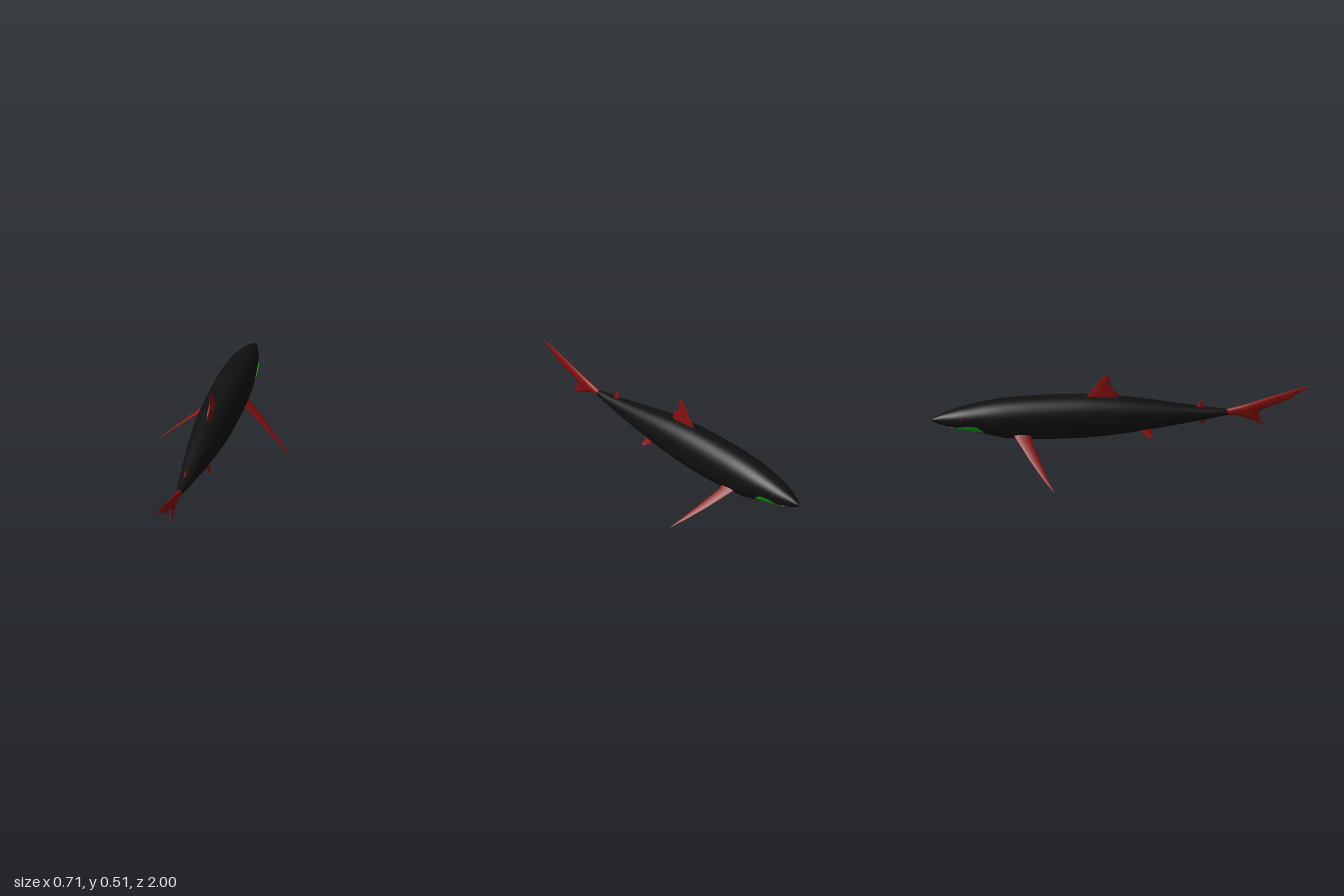
import * as THREE from 'three';
import { mergeVertices } from 'three/addons/utils/BufferGeometryUtils.js';

const bodyMat = new THREE.MeshStandardMaterial({ name: 'black skin', color: 0x101010 });
const finMat = new THREE.MeshStandardMaterial({ name: 'red fin', color: 0x850f0f, side: THREE.DoubleSide });
const mouthMat = new THREE.MeshStandardMaterial({ name: 'dark red mouth', color: 0x4c1010, side: THREE.DoubleSide });
const lipMat = new THREE.MeshStandardMaterial({ name: 'green lip', color: 0x14b014, side: THREE.DoubleSide });

// Body stations: z, half width, top y, bottom y (nose at -z)
const BODY = [
  [-1, 0.003, 0.275, 0.266], [-0.985, 0.014, 0.285, 0.257], [-0.95, 0.028, 0.302, 0.244],
  [-0.9, 0.046, 0.32, 0.232], [-0.85, 0.059, 0.335, 0.222], [-0.8, 0.069, 0.347, 0.213],
  [-0.7, 0.084, 0.367, 0.188], [-0.62, 0.092, 0.378, 0.164], [-0.5, 0.097, 0.387, 0.153],
  [-0.35, 0.098, 0.39, 0.149], [-0.2, 0.096, 0.389, 0.15], [-0.08, 0.091, 0.381, 0.158],
  [0.05, 0.082, 0.367, 0.172], [0.2, 0.066, 0.343, 0.193], [0.35, 0.047, 0.316, 0.216],
  [0.48, 0.03, 0.295, 0.237], [0.57, 0.016, 0.285, 0.252], [0.6, 0.003, 0.275, 0.264],
];

// Linear lookup in a table sorted by its first column
function lookup(table, x, col) {
  let i = 1;
  while (i < table.length - 1 && table[i][0] < x) i++;
  const a = table[i - 1], b = table[i];
  return THREE.MathUtils.lerp(a[col], b[col], THREE.MathUtils.clamp((x - a[0]) / (b[0] - a[0]), 0, 1));
}

// Smooth surface from fn(u, v)
function surface(fn, nu, nv) {
  const pos = [], index = [];
  for (let j = 0; j <= nv; j++) {
    for (let i = 0; i <= nu; i++) {
      pos.push(...fn(i / nu, j / nv));
      if (i < nu && j < nv) {
        const k = j * (nu + 1) + i, up = k + nu + 1;
        index.push(k, k + 1, up, k + 1, up + 1, up);
      }
    }
  }
  let geo = new THREE.BufferGeometry();
  geo.setAttribute('position', new THREE.Float32BufferAttribute(pos, 3));
  geo.setIndex(index);
  geo = mergeVertices(geo, 1e-5);
  geo.computeVertexNormals();
  return geo;
}

// Point on the skin; the angle runs from the belly towards +x
function skin(z, a, lift = 0) {
  const w = lookup(BODY, z, 1) + lift, top = lookup(BODY, z, 2), low = lookup(BODY, z, 3);
  const h = (top - low) / 2 + lift;
  const round = (v) => Math.sign(v) * Math.abs(v) ** 0.9;
  return [w * round(Math.sin(a)), (top + low) / 2 - h * round(Math.cos(a)), z];
}

// Lens-shaped fin from sections [lead xyz, trail xyz, half thickness]
function fin(name, sections, normal) {
  const n = new THREE.Vector3(...normal).normalize();
  const geo = surface((u, v) => {
    const [lead, trail, t] = sections[Math.round(v * (sections.length - 1))];
    const a = u * Math.PI * 2;
    return new THREE.Vector3(...lead).lerp(new THREE.Vector3(...trail), (1 - Math.cos(a)) / 2)
      .addScaledVector(n, t * Math.sin(a)).toArray();
  }, 12, sections.length - 1);
  const mesh = new THREE.Mesh(geo, finMat);
  mesh.name = name;
  return mesh;
}

// Fin on the centre plane from rows [lead y, lead z, trail y, trail z, half thickness]
const centreFin = (name, rows) =>
  fin(name, rows.map(([ly, lz, ty, tz, t]) => [[0, ly, lz], [0, ty, tz], t]), [1, 0, 0]);

export function createModel() {
  const group = new THREE.Group();
  const add = (name, geo, mat) => {
    const mesh = new THREE.Mesh(geo, mat);
    mesh.name = name;
    group.add(mesh);
  };

  // Body
  add('body', surface((u, v) => {
    const s = v * (BODY.length - 1), i = Math.min(Math.floor(s), BODY.length - 2);
    return skin(THREE.MathUtils.lerp(BODY[i][0], BODY[i + 1][0], s - i), u * Math.PI * 2);
  }, 40, (BODY.length - 1) * 2), bodyMat);

  // Mouth on the underside: z, half angle in degrees
  const mouth = [[-0.89, 5], [-0.87, 25], [-0.8, 45], [-0.73, 50], [-0.67, 38], [-0.62, 4]];
  add('mouth', surface((u, v) => {
    const z = -0.89 + 0.27 * v;
    return skin(z, THREE.MathUtils.degToRad(lookup(mouth, z, 1)) * (2 * u - 1), 0.003);
  }, 14, 20), mouthMat);

  // Lip band around the front of the mouth: z, inner angle, outer angle
  const lip = [[-0.905, 0, 6], [-0.89, 0, 38], [-0.87, 22, 58], [-0.83, 36, 74], [-0.77, 44, 76], [-0.73, 50, 60]];
  for (const side of [1, -1]) {
    const label = side > 0 ? 'left' : 'right';
    add(label + 'Lip', surface((u, v) => {
      const z = -0.905 + 0.175 * v;
      const a = THREE.MathUtils.lerp(lookup(lip, z, 1), lookup(lip, z, 2), side > 0 ? u : 1 - u);
      return skin(z, side * THREE.MathUtils.degToRad(a), 0.005);
    }, 8, 18), lipMat);

    // Eye
    add(label + 'Eye', surface((u, v) => {
      const a = u * Math.PI * 2;
      return skin(-0.85 + 0.009 * v * Math.cos(a), side * (1.78 + 0.14 * v * Math.sin(a)), 0.002);
    }, 12, 2), mouthMat);

    // Pectoral fin
    group.add(fin(label + 'PectoralFin', [
      [[side * 0.06, 0.212, -0.58], [side * 0.06, 0.212, -0.47], 0.011],
      [[side * 0.1, 0.184, -0.555], [side * 0.1, 0.184, -0.478], 0.009],
      [[side * 0.2, 0.113, -0.492], [side * 0.2, 0.113, -0.437], 0.006],
      [[side * 0.29, 0.05, -0.428], [side * 0.29, 0.05, -0.4], 0.003],
      [[side * 0.357, 0.001, -0.372], [side * 0.357, 0.001, -0.37], 0.0005],
    ], [side * 0.57, 0.82, 0]));

    // Pelvic fin
    group.add(fin(label + 'PelvicFin', [
      [[side * 0.034, 0.21, 0.095], [side * 0.034, 0.21, 0.165], 0.006],
      [[side * 0.047, 0.18, 0.11], [side * 0.047, 0.18, 0.165], 0.004],
      [[side * 0.057, 0.163, 0.135], [side * 0.057, 0.163, 0.17], 0.002],
      [[side * 0.063, 0.155, 0.16], [side * 0.063, 0.155, 0.168], 0.0005],
    ], [side * 0.87, 0.48, 0]));
  }

  // Dorsal fin
  group.add(centreFin('dorsalFin', [
    [0.365, -0.19, 0.365, -0.01, 0.012], [0.39, -0.175, 0.395, -0.01, 0.011],
    [0.415, -0.152, 0.408, -0.012, 0.009], [0.44, -0.135, 0.43, -0.045, 0.007],
    [0.47, -0.115, 0.46, -0.055, 0.005], [0.495, -0.096, 0.488, -0.052, 0.003],
    [0.505, -0.08, 0.504, -0.056, 0.0015], [0.509, -0.07, 0.509, -0.062, 0.0005],
  ]));

  // Small fins above and below the tail stem
  group.add(centreFin('secondDorsalFin', [
    [0.285, 0.4, 0.285, 0.46, 0.01], [0.308, 0.408, 0.304, 0.452, 0.007],
    [0.328, 0.42, 0.325, 0.44, 0.003], [0.341, 0.43, 0.341, 0.436, 0.0005],
  ]));
  group.add(centreFin('analFin', [
    [0.25, 0.4, 0.25, 0.46, 0.01], [0.228, 0.412, 0.228, 0.462, 0.007],
    [0.214, 0.424, 0.213, 0.448, 0.003], [0.203, 0.434, 0.203, 0.44, 0.0005],
  ]));

  // Tail fin
  group.add(centreFin('upperTailLobe', [
    [0.285, 0.565, 0.252, 0.565, 0.015], [0.302, 0.63, 0.25, 0.63, 0.015],
    [0.32, 0.69, 0.262, 0.72, 0.012], [0.348, 0.78, 0.282, 0.77, 0.009],
    [0.372, 0.86, 0.312, 0.845, 0.007], [0.388, 0.92, 0.342, 0.92, 0.005],
    [0.393, 0.935, 0.362, 0.932, 0.004], [0.403, 0.98, 0.382, 0.975, 0.002],
    [0.403, 1, 0.394, 1, 0.0005],
  ]));
  group.add(centreFin('lowerTailLobe', [
    [0.28, 0.58, 0.285, 0.75, 0.013], [0.255, 0.6, 0.266, 0.738, 0.012],
    [0.232, 0.665, 0.24, 0.738, 0.008], [0.21, 0.715, 0.214, 0.75, 0.004],
    [0.184, 0.765, 0.187, 0.77, 0.0005],
  ]));

  return group;
}
